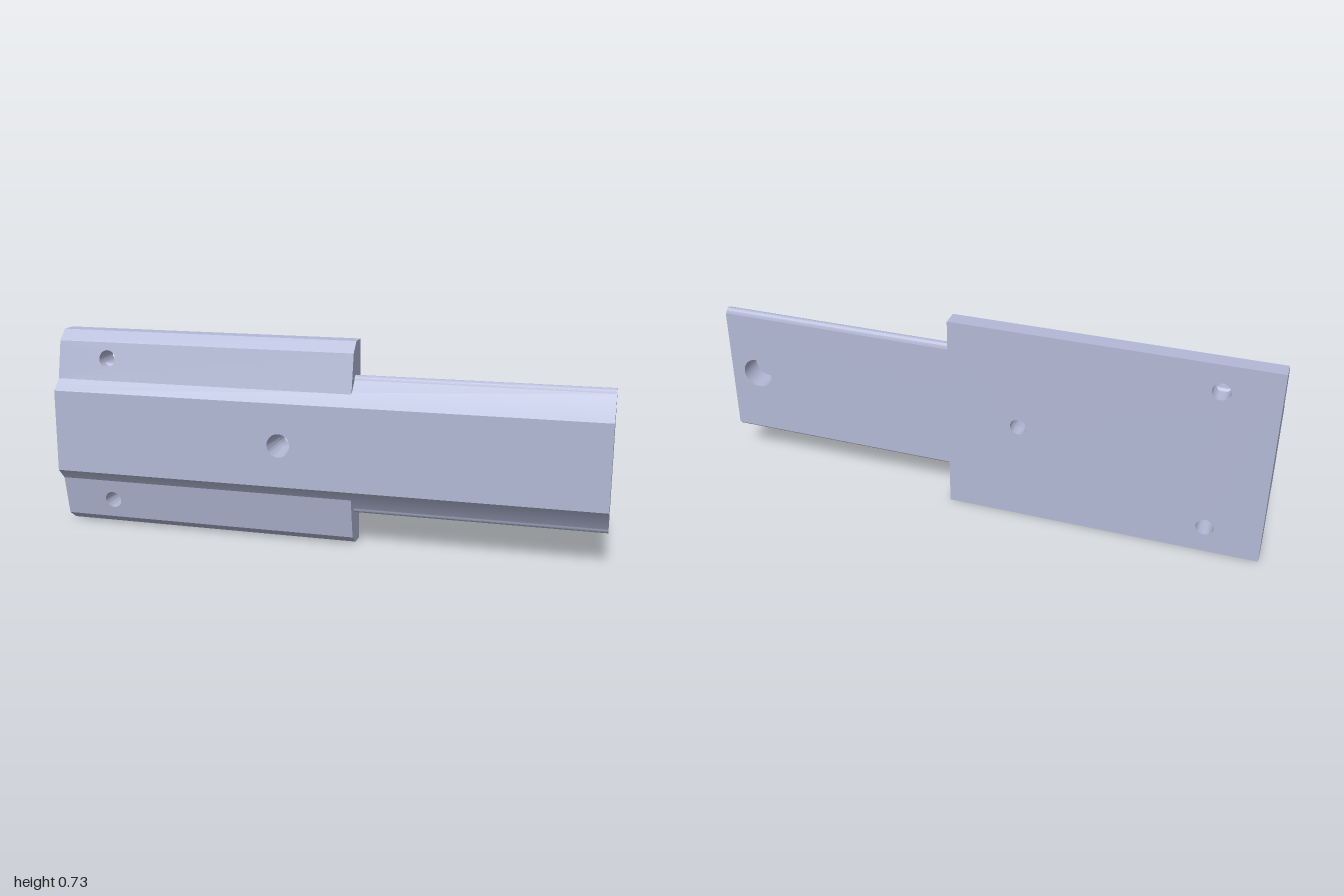
import * as THREE from 'three';
import { mergeGeometries, toCreasedNormals } from 'three/addons/utils/BufferGeometryUtils.js';

const MID_Y = 0.367;
const mirrorY = ([z, y]) => [z, 2 * MID_Y - y];

// Prism along x from a [z, y] profile (up the front, down the back).
// Each hole runs along z: radius rf on the front face, rb on the back face;
// a hole with "floor" is blind and ends at that z.
function drilledPrism(profile, x0, x1, holes) {
  const parts = [];
  const ends = holes.map(() => ({}));

  // Long faces, with the holes cut out
  profile.forEach(([z0, y0], i) => {
    const [z1, y1] = profile[(i + 1) % profile.length];
    const dz = z1 - z0, dy = y1 - y0, len = Math.hypot(dz, dy);
    const face = new THREE.Shape([
      new THREE.Vector2(x0, 0), new THREE.Vector2(x1, 0),
      new THREE.Vector2(x1, len), new THREE.Vector2(x0, len),
    ]);
    holes.forEach((h, k) => {
      if (Math.abs(dy) < 0.1 || (h.y - y0) * (h.y - y1) > 0) return;
      const front = dy > 0;
      if (front && h.floor !== undefined) return;
      const r = front ? h.rf : h.rb;
      ends[k][front ? 'front' : 'back'] = (y) => z0 + dz * (y - y0) / dy;
      const cut = new THREE.Path();
      cut.absellipse(h.x, (h.y - y0) / dy * len, r, r * len / Math.abs(dy), 0, Math.PI * 2, false, 0);
      face.holes.push(cut);
    });
    const g = new THREE.ShapeGeometry(face, 16);
    const p = g.attributes.position;
    for (let j = 0; j < p.count; j++) {
      const t = p.getY(j) / len;
      p.setXYZ(j, p.getX(j), y0 + dy * t, z0 + dz * t);
    }
    parts.push(g);
  });

  // End caps
  for (const s of [1, -1]) {
    const cap = new THREE.ShapeGeometry(new THREE.Shape(profile.map(([z, y]) => new THREE.Vector2(-s * z, y))));
    parts.push(cap.rotateY(s * Math.PI / 2).translate(s > 0 ? x1 : x0, 0, 0));
  }

  // Bore walls, facing inward
  holes.forEach((h, k) => {
    const bore = new THREE.CylinderGeometry(h.rf, h.rb, 2, 32, 1, true).rotateX(Math.PI / 2);
    bore.translate(h.x, h.y, 0);
    bore.index.array.reverse();
    const p = bore.attributes.position;
    for (let j = 0; j < p.count; j++) {
      const atFront = p.getZ(j) > 0;
      const z = atFront ? (h.floor ?? ends[k].front(p.getY(j))) : ends[k].back(p.getY(j));
      p.setZ(j, z);
    }
    parts.push(bore);
    if (h.floor !== undefined) {
      parts.push(new THREE.CircleGeometry(h.rf, 32).rotateY(Math.PI).translate(h.x, h.y, h.floor));
    }
  });
  return toCreasedNormals(mergeGeometries(parts), 0.4);
}

export function createModel() {
  const model = new THREE.Group();
  model.name = 'slideRail';
  const metal = new THREE.MeshStandardMaterial({ color: 0xb3b9d6 });
  metal.name = 'pale blue metal';

  // Upper guide: sloped flank, round bead, small step to the back
  const guide = [[0.003, 0.598]];
  for (let i = 0; i <= 12; i++) {
    const a = Math.PI * i / 12;
    guide.push([-0.014 + 0.016 * Math.cos(a), 0.6 + 0.016 * Math.sin(a)]);
  }
  guide.push([-0.037, 0.6]);
  const groove = [...guide, ...guide.map(mirrorY).reverse()];

  // Sliding bar
  const bar = [[0.083, 0.216], [0.083, 0.518], ...groove];
  const slider = new THREE.Mesh(drilledPrism(bar, -1, 1, [
    { x: -0.137, y: MID_Y, rf: 0.042, rb: 0.029 },
    { x: 0.895, y: MID_Y, rf: 0.056, rb: 0.056, floor: 0.05 },
  ]), metal);
  slider.name = 'slider';

  // Base plate with the matching slot
  const plate = [
    [-0.083, 0], [-0.03, 0], [0.014, 0.03], [0.044, 0.177],
    ...groove.slice().reverse(),
    [0.044, 0.557], [0.016, 0.695], [-0.022, 0.733], [-0.083, 0.733],
  ];
  const base = new THREE.Mesh(drilledPrism(plate, -1, 0.118, [
    { x: -0.137, y: MID_Y, rf: 0.029, rb: 0.029 },
    { x: -0.808, y: 0.636, rf: 0.031, rb: 0.031 },
    { x: -0.808, y: 0.1, rf: 0.031, rb: 0.031 },
  ]), metal);
  base.name = 'basePlate';

  model.add(slider, base);
  return model;
}
